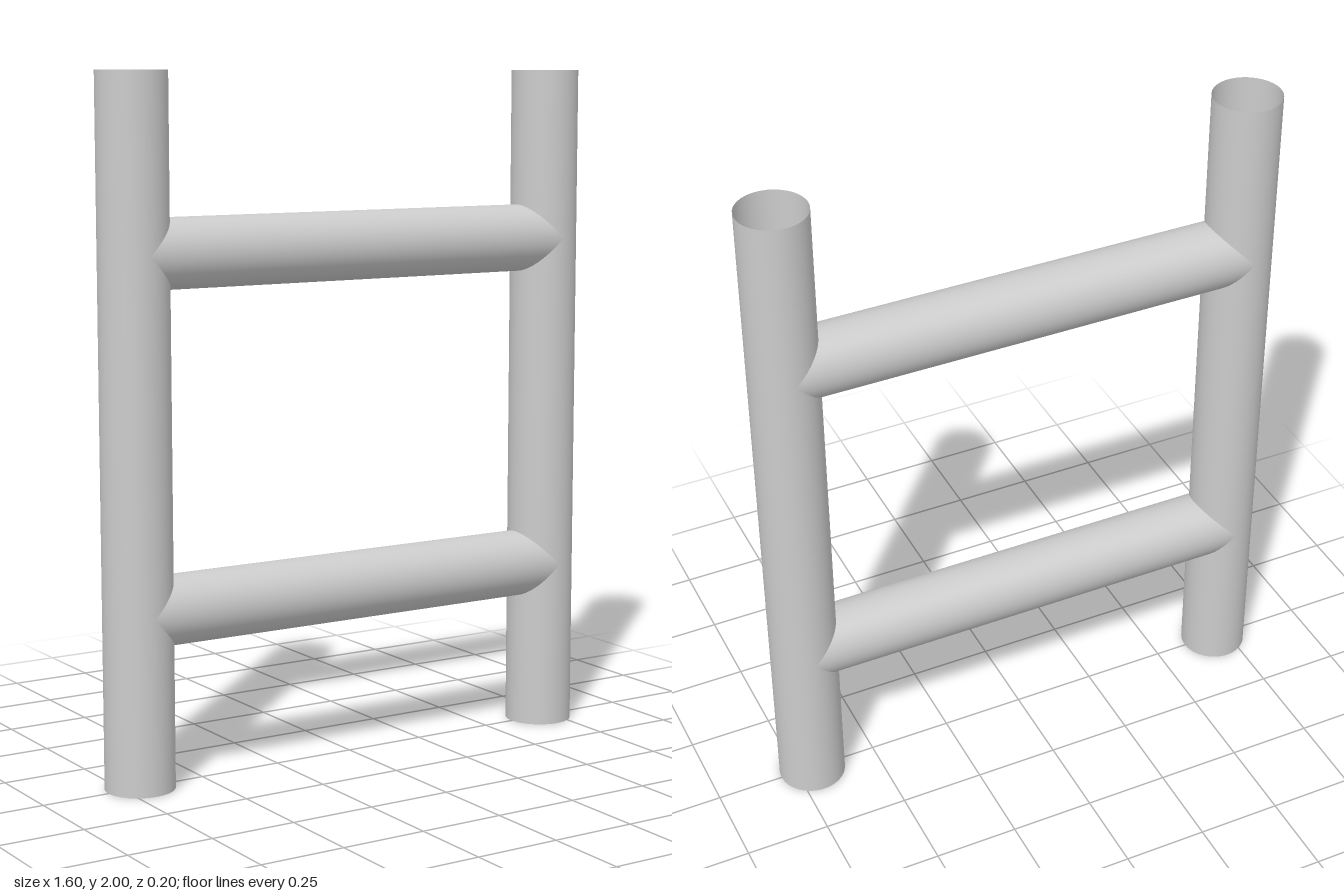
import * as THREE from 'three';

const R = 0.1;        // tube radius of posts and rungs
const POST_X = 0.7;   // post axis distance from centre
const SIDES = 48;

// Open horizontal tube whose ends are coped to fit around the posts
function copedTube() {
  const geo = new THREE.CylinderGeometry(R, R, 2, SIDES, 1, true);
  geo.rotateZ(Math.PI / 2);
  const pos = geo.attributes.position;
  for (let i = 0; i < pos.count; i++) {
    const z = pos.getZ(i);
    const reach = POST_X - Math.sqrt(Math.max(0, R * R - z * z));
    pos.setX(i, Math.sign(pos.getX(i)) * reach);
  }
  return geo;
}

export function createModel() {
  const group = new THREE.Group();
  group.name = 'ladderFrame';
  const material = new THREE.MeshStandardMaterial({ color: 0xcccccc, side: THREE.DoubleSide });

  const add = (name, geo, x, y) => {
    const mesh = new THREE.Mesh(geo, material);
    mesh.name = name;
    mesh.position.set(x, y, 0);
    group.add(mesh);
  };

  // Upright posts, open at both ends
  const postGeo = new THREE.CylinderGeometry(R, R, 2, SIDES, 1, true);
  add('leftPost', postGeo, POST_X, 1);
  add('rightPost', postGeo, -POST_X, 1);

  // Rungs between the posts
  const rungGeo = copedTube();
  add('lowerRung', rungGeo, 0, 0.5);
  add('upperRung', rungGeo, 0, 1.5);

  return group;
}
